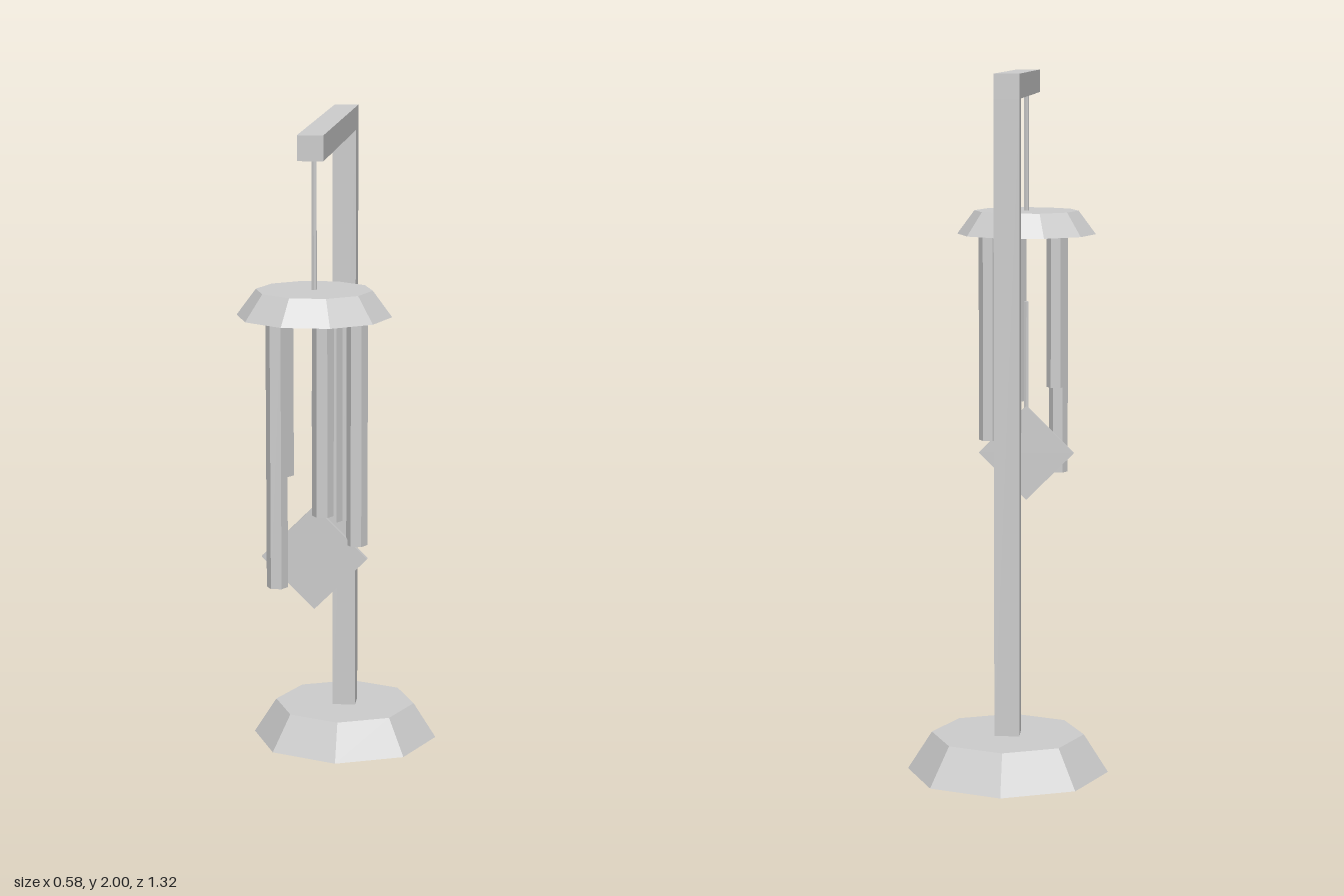
import * as THREE from 'three';

export function createModel() {
  const root = new THREE.Group();
  root.name = 'windChimeStand';
  const grey = new THREE.MeshStandardMaterial({ color: 0xcccccc, flatShading: true });
  grey.name = 'plain grey';

  const add = (name, geometry, x, y, z, parent = root) => {
    const mesh = new THREE.Mesh(geometry, grey);
    mesh.name = name;
    mesh.position.set(x, y, z);
    parent.add(mesh);
    return mesh;
  };
  // Upright prism between two heights
  const prism = (name, rTop, rBottom, y0, y1, sides, x, z, turn = 0, parent = root) => {
    const g = new THREE.CylinderGeometry(rTop, rBottom, y1 - y0, sides);
    g.rotateY(turn);
    return add(name, g, x, (y0 + y1) / 2, z, parent);
  };

  // Stand: tapered octagonal foot, square post and overhanging arm
  const postZ = -0.368, beam = 0.072;
  prism('base', 0.22, 0.29, 0, 0.11, 8, 0, postZ);
  add('post', new THREE.BoxGeometry(beam, 1.82, beam), 0, 1.02, postZ);
  add('arm', new THREE.BoxGeometry(beam, 0.07, 0.948), 0, 1.965, 0.07);

  // Hanging chime
  const chime = new THREE.Group();
  chime.name = 'chime';
  chime.position.z = 0.453;
  root.add(chime);
  prism('hangingCord', 0.008, 0.008, 1.56, 1.94, 6, 0, 0, 0, chime);
  prism('canopy', 0.163, 0.217, 1.492, 1.565, 10, 0, 0, Math.PI / 10, chime);

  // Five hexagonal tubes of different lengths in a ring
  const bottoms = [0.84, 0.95, 0.73, 1.02, 0.88];
  bottoms.forEach((bottom, i) => {
    const a = (i / bottoms.length) * Math.PI * 2;
    prism('tube' + (i + 1), 0.03, 0.03, bottom, 1.495, 6,
      0.12 * Math.cos(a), 0.12 * Math.sin(a), Math.PI / 6, chime);
  });

  // Central cord with a diamond wind sail
  prism('clapperCord', 0.008, 0.008, 0.9, 1.28, 6, 0, 0, 0, chime);
  const sail = add('windSail', new THREE.BoxGeometry(0.212, 0.212, 0.016), 0, 0.8, 0, chime);
  sail.rotation.z = Math.PI / 4;

  return root;
}
